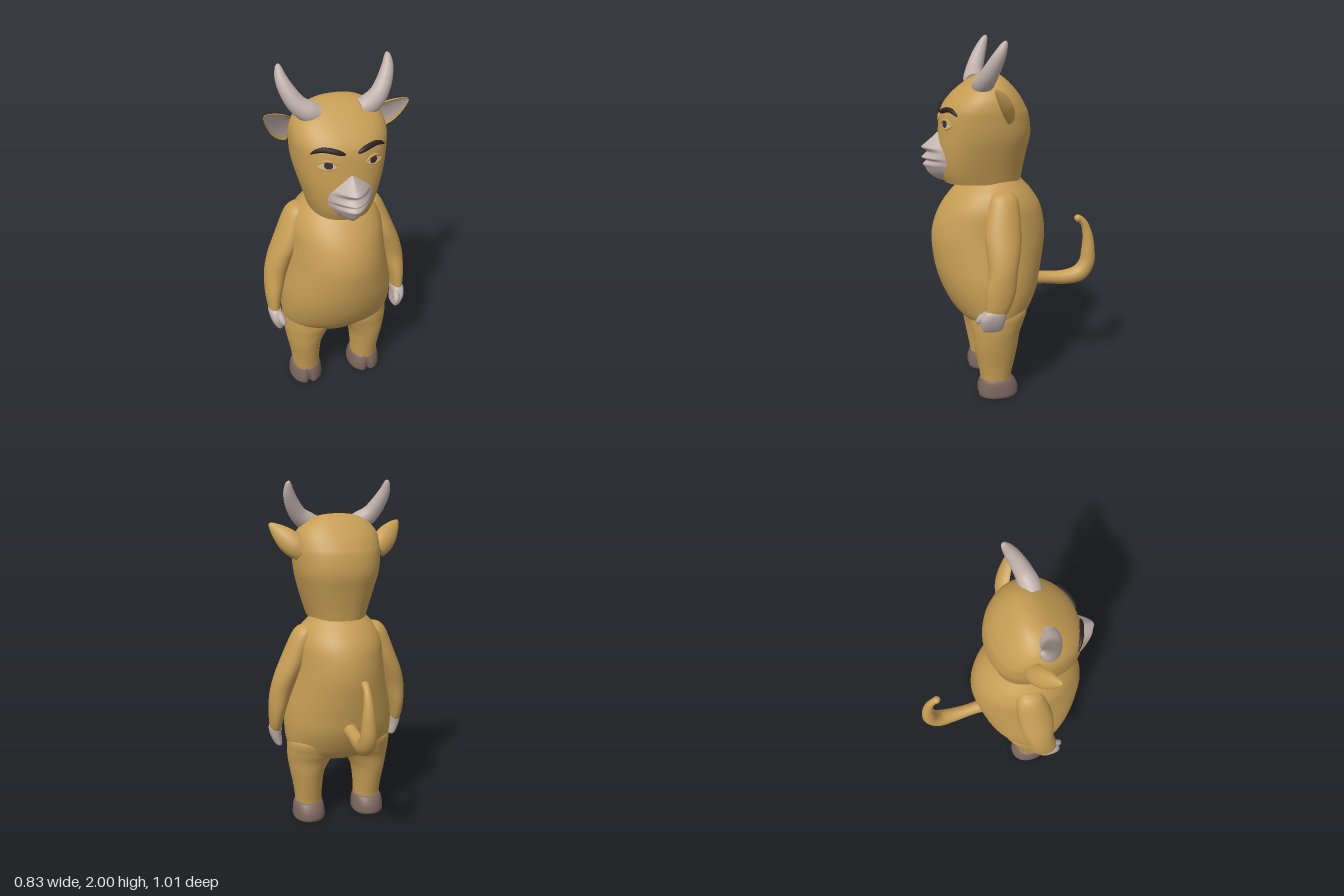
import * as THREE from 'three';

const V = (x, y, z) => new THREE.Vector3(x, y, z);

// Catmull-Rom interpolation of every column of a short table
function smooth(rows, steps = 6) {
  const out = [];
  const at = (i) => rows[Math.max(0, Math.min(rows.length - 1, i))];
  for (let i = 0; i < rows.length - 1; i++) {
    for (let k = 0; k < steps; k++) {
      const t = k / steps;
      out.push(rows[i].map((p1, c) => {
        const p0 = at(i - 1)[c], p2 = at(i + 1)[c], p3 = at(i + 2)[c];
        return p1 + 0.5 * t * (p2 - p0 + t * (2 * p0 - 5 * p1 + 4 * p2 - p3 + t * (3 * (p1 - p2) + p3 - p0)));
      }));
    }
  }
  out.push(rows[rows.length - 1]);
  return out;
}

// Skin over rows of points; closed rows are capped and face outward, open ones face +z
function skin(rows, closed) {
  const n = rows[0].length, pts = rows.flat(), idx = [];
  for (let r = 0; r < rows.length - 1; r++) {
    for (let i = 0; i < (closed ? n : n - 1); i++) {
      const a = r * n + i, b = r * n + (i + 1) % n;
      idx.push(a, b, a + n, b, b + n, a + n);
    }
  }
  if (closed) {
    for (const [ring, last] of [[rows[0], false], [rows[rows.length - 1], true]]) {
      const s = pts.length;
      const mid = ring.reduce((m, p) => m.add(p), V(0, 0, 0)).divideScalar(n);
      pts.push(...ring, mid);
      for (let i = 0; i < n; i++) {
        const a = s + i, b = s + (i + 1) % n;
        idx.push(s + n, ...(last ? [a, b] : [b, a]));
      }
    }
  }
  let sign = 0;
  for (let i = 0; i < idx.length; i += 3) {
    const [a, b, c] = [0, 1, 2].map((k) => pts[idx[i + k]]);
    sign += closed ? a.dot(b.clone().cross(c)) : b.clone().sub(a).cross(c.clone().sub(a)).z;
  }
  if (sign < 0) idx.reverse();
  const g = new THREE.BufferGeometry().setFromPoints(pts);
  g.setIndex(idx);
  g.computeVertexNormals();
  return g;
}

// Stacked horizontal sections: [y, centre x, half width, back z, front z]
function stack(rows, n = 2, warp = null) {
  const pw = (v) => Math.sign(v) * Math.abs(v) ** (2 / n);
  return skin(smooth(rows).map(([y, cx, rx, zb, zf]) => Array.from({ length: 48 }, (_, i) => {
    const a = i / 48 * Math.PI * 2;
    const p = V(cx + rx * pw(Math.cos(a)), y, (zb + zf) / 2 + (zf - zb) / 2 * pw(Math.sin(a)));
    if (warp) warp(p);
    return p;
  })), true);
}

// Tapered tube through [x, y, z, radius]
function taper(rows, ref, sides = 20) {
  const d = smooth(rows), c = d.map((r) => V(r[0], r[1], r[2]));
  return skin(d.map((r, k) => {
    const t = c[Math.min(k + 1, c.length - 1)].clone().sub(c[Math.max(k - 1, 0)]).normalize();
    const u = ref.clone().addScaledVector(t, -t.dot(ref)).normalize(), w = t.clone().cross(u);
    return Array.from({ length: sides }, (_, i) => {
      const a = i / sides * Math.PI * 2;
      return c[k].clone().addScaledVector(u, r[3] * Math.cos(a)).addScaledVector(w, r[3] * Math.sin(a));
    });
  }), true);
}

function mirrored(geo) {
  const g = geo.clone().scale(-1, 1, 1);
  g.setIndex(Array.from(geo.index.array).reverse());
  g.computeVertexNormals();
  return g;
}

const HEAD_N = 2.3;
const headRows = [
  [1.235, 0, 0.165, -0.045, 0.385], [1.3, 0, 0.185, -0.055, 0.41], [1.4, 0, 0.215, -0.075, 0.418],
  [1.5, 0, 0.24, -0.095, 0.41], [1.6, 0, 0.25, -0.083, 0.397], [1.65, 0, 0.25, -0.063, 0.378],
  [1.7, 0, 0.238, -0.035, 0.338], [1.75, 0, 0.205, 0.005, 0.28], [1.79, 0, 0.15, 0.045, 0.22],
  [1.812, 0, 0.09, 0.08, 0.17], [1.82, 0, 0.015, 0.115, 0.13],
];
const headDense = smooth(headRows);

// Depth of the face surface at x, y
function faceZ(x, y) {
  let i = 0;
  while (i < headDense.length - 2 && headDense[i + 1][0] < y) i++;
  const a = headDense[i], b = headDense[i + 1];
  const t = THREE.MathUtils.clamp((y - a[0]) / (b[0] - a[0]), 0, 1);
  const [, , rx, zb, zf] = a.map((v, k) => v + (b[k] - v) * t);
  const s = Math.max(0, 1 - Math.abs(x / rx) ** HEAD_N) ** (1 / HEAD_N);
  return (zb + zf) / 2 + (zf - zb) / 2 * s;
}

const span = (n, a, b) => Array.from({ length: n + 1 }, (_, i) => a + (b - a) * i / n);

// Thin plate laid on the face; power sets how pointed its corners are
const plate = (cx, cy, w, h, power, off) => skin(span(8, -1, 1).map((v) => span(20, -1, 1).map((s) => {
  const x = cx + w * s, y = cy + h * v * (1 - s * s) ** power;
  return V(x, y, faceZ(x, y) + off);
})), false);

// Tube laid on the face through [x, y, radius]
const faceTube = (rows) => taper(rows.map(([x, y, r]) => [x, y, faceZ(x, y) + 0.004, r]), V(0, 1, 0), 10);

export function createModel() {
  const model = new THREE.Group();
  const mat = (name, color) => {
    const m = new THREE.MeshStandardMaterial({ color });
    m.name = name;
    return m;
  };
  const hide = mat('golden hide', 0xc69d54), pale = mat('pale horn', 0xbfafa9);
  const hoofMat = mat('hoof brown', 0x7a655d), dark = mat('brow black', 0x2b2325);
  const white = mat('eye white', 0xc9bba6), iris = mat('iris', 0x3b2c38);

  const add = (name, geo, material) => {
    const m = new THREE.Mesh(geo, material);
    m.name = name;
    model.add(m);
  };
  const pair = (name, geo, material) => {
    add(name + 'Left', geo, material);
    add(name + 'Right', mirrored(geo), material);
  };

  // Body and head
  add('torso', stack([
    [0.385, 0, 0.06, 0.06, 0.2], [0.4, 0, 0.18, 0, 0.25], [0.44, 0, 0.28, -0.05, 0.285],
    [0.5, 0, 0.313, -0.09, 0.345], [0.6, 0, 0.322, -0.135, 0.4], [0.7, 0, 0.315, -0.155, 0.435],
    [0.8, 0, 0.295, -0.172, 0.455], [0.92, 0, 0.272, -0.185, 0.462], [1.02, 0, 0.26, -0.175, 0.44],
    [1.1, 0, 0.252, -0.15, 0.4], [1.17, 0, 0.225, -0.105, 0.345], [1.22, 0, 0.185, -0.06, 0.29],
    [1.255, 0, 0.15, -0.03, 0.25],
  ]), hide);
  add('head', stack(headRows, HEAD_N), hide);

  // Muzzle with nose and lips: [y, half width, centre z]
  add('muzzle', skin(smooth([
    [1.505, 0.005, 0.415], [1.47, 0.05, 0.455], [1.44, 0.085, 0.492], [1.425, 0.1, 0.503],
    [1.405, 0.113, 0.476], [1.385, 0.118, 0.49], [1.37, 0.12, 0.504], [1.355, 0.119, 0.478],
    [1.335, 0.113, 0.497], [1.315, 0.1, 0.486], [1.28, 0.067, 0.465], [1.25, 0.027, 0.425], [1.237, 0.006, 0.39],
  ], 4).map(([y, hw, zc]) => span(24, -1, 1).map((s) => {
    const x = s * hw, edge = faceZ(hw, y) - 0.004;
    return V(x, y, Math.max(edge + (zc - edge) * (1 - Math.abs(s) ** 1.6), faceZ(x, y) + 0.004 * (1 - s * s)));
  })), false), pale);

  // Eyes, lids and brows
  pair('eyeWhite', plate(0.122, 1.564, 0.045, 0.022, 0.8, 0.003), white);
  pair('iris', plate(0.117, 1.566, 0.021, 0.02, 0.5, 0.006), iris);
  pair('upperLid', faceTube([[0.072, 1.56, 0.002], [0.095, 1.582, 0.006], [0.125, 1.588, 0.007],
    [0.152, 1.578, 0.006], [0.17, 1.56, 0.002]]), hide);
  pair('lowerLid', faceTube([[0.072, 1.56, 0.002], [0.1, 1.546, 0.005], [0.13, 1.541, 0.006],
    [0.155, 1.549, 0.005], [0.17, 1.56, 0.002]]), hide);
  pair('brow', faceTube([[0.034, 1.617, 0.006], [0.06, 1.627, 0.013], [0.1, 1.638, 0.014],
    [0.14, 1.641, 0.013], [0.17, 1.631, 0.01], [0.192, 1.614, 0.003]]), dark);

  // Horns
  pair('horn', taper([
    [0.11, 1.755, 0.19, 0.05], [0.155, 1.77, 0.187, 0.056], [0.21, 1.81, 0.172, 0.049], [0.25, 1.87, 0.147, 0.042],
    [0.275, 1.93, 0.12, 0.032], [0.282, 1.975, 0.1, 0.02], [0.281, 1.993, 0.092, 0.011], [0.28, 2, 0.09, 0.002],
  ], V(0, 0, 1)), pale);

  // Ears: leaf-shaped cups with a pale lining, [t, half width, depth]
  const base = V(0.215, 1.61, 0.07), tip = V(0.378, 1.768, 0.172);
  const across = V(-0.69, 0.72, 0);
  const facing = tip.clone().sub(base).normalize().cross(across).normalize();
  const earRows = smooth([[0, 0.05, 0.04], [0.2, 0.064, 0.052], [0.45, 0.064, 0.05],
    [0.7, 0.047, 0.036], [0.88, 0.027, 0.02], [0.97, 0.013, 0.01], [1, 0.003, 0.003]]);
  const earPoint = (t, side, out) => base.clone().lerp(tip, t).addScaledVector(across, side).addScaledVector(facing, out);
  pair('ear', skin(earRows.map(([t, hw, d]) => span(31, 0, 31 / 16 * Math.PI).map((a) =>
    earPoint(t, hw * Math.cos(a), Math.sin(a) * d * (Math.sin(a) < 0 ? 1 : -0.35)))), true), hide);
  pair('earLining', skin(earRows.slice(2, -6).map(([t, hw, d]) => span(12, -0.8, 0.8).map((s) =>
    earPoint(t, hw * s, 0.004 - 0.35 * d * Math.sqrt(1 - s * s)))), false), pale);

  // Arms and hands
  pair('arm', stack([
    [1.205, 0.19, 0.02, 0.07, 0.11], [1.19, 0.2, 0.05, 0.035, 0.15], [1.14, 0.22, 0.066, 0.01, 0.175],
    [1, 0.272, 0.073, 0.008, 0.205], [0.9, 0.315, 0.07, 0.02, 0.203], [0.8, 0.347, 0.063, 0.042, 0.2],
    [0.7, 0.365, 0.05, 0.055, 0.217], [0.62, 0.372, 0.039, 0.08, 0.22], [0.57, 0.372, 0.031, 0.105, 0.22],
  ]), hide);
  pair('hand', stack([
    [0.59, 0.372, 0.03, 0.115, 0.22], [0.575, 0.372, 0.036, 0.11, 0.235], [0.54, 0.371, 0.034, 0.115, 0.25],
    [0.5, 0.363, 0.029, 0.122, 0.247], [0.47, 0.355, 0.02, 0.13, 0.235], [0.458, 0.35, 0.006, 0.16, 0.21],
  ], 2.4), pale);
  pair('thumb', taper([[0.36, 0.575, 0.2, 0.018], [0.35, 0.55, 0.238, 0.02], [0.342, 0.525, 0.257, 0.016],
    [0.338, 0.507, 0.262, 0.004]], V(1, 0, 0), 12), pale);

  // Legs and cloven hooves
  pair('leg', stack([
    [0.08, 0.185, 0.077, 0.05, 0.222], [0.12, 0.185, 0.08, 0.047, 0.226], [0.2, 0.188, 0.087, 0.03, 0.24],
    [0.3, 0.19, 0.104, 0.01, 0.258], [0.38, 0.175, 0.132, -0.005, 0.268], [0.44, 0.16, 0.152, -0.03, 0.277],
    [0.52, 0.155, 0.15, -0.05, 0.27], [0.58, 0.14, 0.1, 0, 0.22],
  ]), hide);
  pair('hoof', stack([
    [0, 0.186, 0.09, 0.015, 0.238], [0.015, 0.186, 0.096, 0.008, 0.243], [0.05, 0.186, 0.094, 0.012, 0.242],
    [0.08, 0.186, 0.09, 0.026, 0.234], [0.1, 0.186, 0.083, 0.042, 0.226], [0.106, 0.186, 0.076, 0.052, 0.218],
  ], 2.2, (p) => {
    if (p.z > 0.13) p.z -= 0.03 * Math.exp(-(((p.x - 0.186) / 0.012) ** 2)) * (1 - p.y / 0.13);
  }), hoofMat);

  // Tail
  add('tail', taper([
    [0, 0.63, -0.08, 0.045], [0, 0.615, -0.2, 0.037], [0, 0.607, -0.32, 0.043], [0, 0.627, -0.41, 0.05],
    [0, 0.69, -0.455, 0.046], [0, 0.77, -0.462, 0.04], [0, 0.85, -0.458, 0.031], [0, 0.92, -0.44, 0.023],
    [0, 0.955, -0.415, 0.02], [0, 0.967, -0.39, 0.022], [0, 0.968, -0.375, 0.008],
  ], V(1, 0, 0)), hide);

  return model;
}
